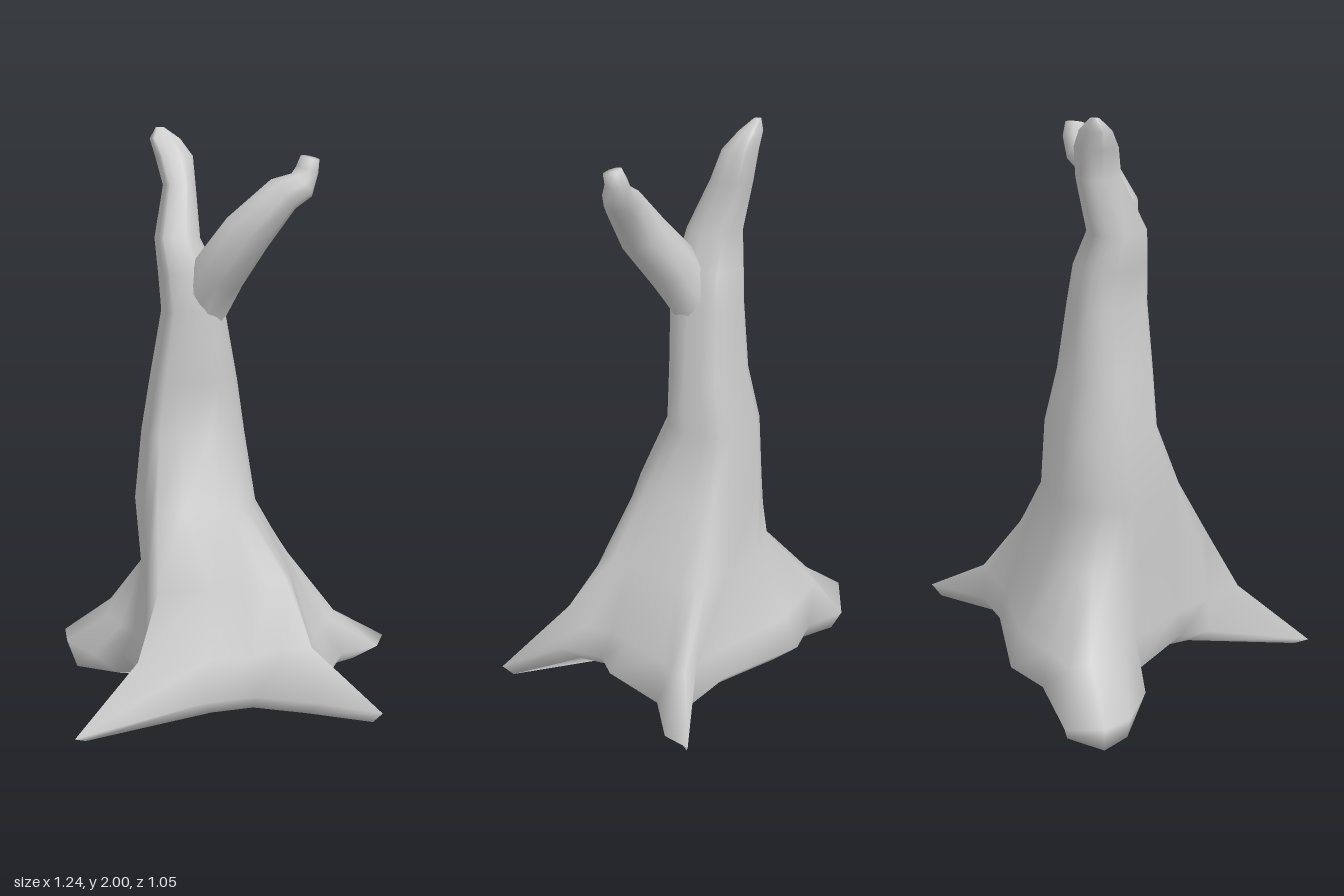
import * as THREE from 'three';

const material = new THREE.MeshStandardMaterial({ color: 0xcccccc, side: THREE.DoubleSide });

// Skins a stack of equal-length rings and closes both ends with fans
function loft(rings) {
  const n = rings[0].length, pos = rings.flat(2), index = [];
  const centre = (ring) => {
    for (let k = 0; k < 3; k++) pos.push(ring.reduce((s, p) => s + p[k], 0) / n);
    return pos.length / 3 - 1;
  };
  const bottom = centre(rings[0]), top = centre(rings.at(-1));
  const last = (rings.length - 1) * n;
  for (let c = 0; c < n; c++) {
    const d = (c + 1) % n;
    for (let r = 0; r < last; r += n) {
      index.push(r + c, r + d, r + n + d, r + c, r + n + d, r + n + c);
    }
    index.push(d, c, bottom, last + c, last + d, top);
  }
  const g = new THREE.BufferGeometry();
  g.setAttribute('position', new THREE.Float32BufferAttribute(pos, 3));
  g.setIndex(index);
  g.computeVertexNormals();
  return g;
}

// Widest outline of the four roots, starting at the front root on the -x side
const rim = [
  [-0.62, 0.06, 0.51], [-0.18, 0.1, 0.375], [0, 0.1, 0.35], [0.2, 0.1, 0.45],
  [0.39, 0.08, 0.52], [0.22, 0.09, 0.37], [0.225, 0.09, 0.2], [0.31, 0.09, 0.13],
  [0.41, 0.08, -0.09], [0.57, 0.07, -0.18], [0.62, 0.08, -0.28], [0.39, 0.09, -0.21],
  [0.21, 0.1, -0.27], [-0.08, 0.1, -0.455], [-0.25, 0.1, -0.455], [-0.45, 0.06, -0.53],
  [-0.59, 0.11, -0.48], [-0.59, 0.1, -0.37], [-0.5, 0.09, -0.21], [-0.4, 0.1, -0.18],
  [-0.33, 0.1, 0.14], [-0.37, 0.09, 0.25],
];
// Rounded underside, tucked in between the roots and dipping beneath the blunt rear root
const sole = rim.map(([x, , z]) => {
  const inset = Math.hypot(x, z) > 0.6 ? 0.94 : 0.82;
  return [x * inset, THREE.MathUtils.clamp(0.1 + 0.1 * (x + z), 0, 0.04), z * inset];
});
// Root ridges and the hollows between them
const skirt = [
  [-0.4, 0.25, 0.36], [-0.16, 0.22, 0.315], [0, 0.22, 0.305], [0.1, 0.25, 0.33],
  [0.19, 0.26, 0.34], [0.21, 0.2, 0.26], [0.215, 0.2, 0.16], [0.26, 0.2, 0.08],
  [0.32, 0.2, -0.06], [0.38, 0.2, -0.13], [0.4, 0.22, -0.19], [0.34, 0.22, -0.21],
  [0.19, 0.2, -0.25], [-0.08, 0.22, -0.41], [-0.25, 0.23, -0.43], [-0.37, 0.22, -0.44],
  [-0.42, 0.25, -0.39], [-0.44, 0.21, -0.31], [-0.4, 0.2, -0.21], [-0.36, 0.2, -0.12],
  [-0.33, 0.2, 0.12], [-0.36, 0.22, 0.24],
];
// Foot of the trunk where the ridges fade, as x, z at one height
const foot = [
  [-0.32, 0.275], [-0.14, 0.245], [-0.02, 0.235], [0.06, 0.24], [0.13, 0.22], [0.15, 0.18],
  [0.165, 0.12], [0.18, 0.06], [0.2, -0.03], [0.21, -0.1], [0.215, -0.16], [0.19, -0.19],
  [0.1, -0.24], [-0.08, -0.29], [-0.18, -0.29], [-0.24, -0.28], [-0.28, -0.255],
  [-0.31, -0.21], [-0.33, -0.15], [-0.335, -0.09], [-0.34, 0.1], [-0.35, 0.2],
].map(([x, z]) => [x, 0.46, z]);
// Trunk sections running into the tall rear branch: y, x range, z range
const sections = [
  [0.7, -0.365, 0.07, -0.275, 0.175],
  [0.94, -0.335, 0.04, -0.26, 0.07], [1.13, -0.305, 0.01, -0.215, 0.065],
  [1.37, -0.26, -0.035, -0.2, 0.065], [1.5, -0.27, -0.06, -0.19, 0.05],
  [1.62, -0.28, -0.12, -0.175, 0.025], [1.8, -0.24, -0.125, -0.215, -0.065],
  [1.9, -0.265, -0.13, -0.225, -0.1], [1.96, -0.28, -0.17, -0.23, -0.15],
  [2, -0.255, -0.225, -0.22, -0.195],
];

function trunkGeometry() {
  const rings = sections.map(([y, x0, x1, z0, z1]) => skirt.map(([px, , pz]) => {
    const a = Math.atan2(pz + 0.02, px + 0.08), cos = Math.cos(a), sin = Math.sin(a);
    // ellipse, fuller along one diagonal than the other
    const power = cos * sin < 0 ? 0.75 : 1.05;
    const q = (v) => Math.sign(v) * Math.abs(v) ** power;
    return [
      (x0 + x1) / 2 + q(cos) * (x1 - x0) / 2, y,
      (z0 + z1) / 2 + q(sin) * (z1 - z0) / 2,
    ];
  }));
  return loft([sole, rim, skirt, foot, ...rings]);
}

// Tapering limb: each row is x, y, z, radius
function limbGeometry(path, sides) {
  const pts = path.map((p) => new THREE.Vector3(p[0], p[1], p[2]));
  const rings = pts.map((p, i) => {
    const t = pts[Math.min(i + 1, pts.length - 1)].clone().sub(pts[Math.max(i - 1, 0)]).normalize();
    const u = new THREE.Vector3(0, 0, 1).cross(t).normalize();
    const v = t.clone().cross(u);
    return Array.from({ length: sides }, (_, k) => {
      const a = k / sides * Math.PI * 2, r = path[i][3];
      return p.clone().addScaledVector(u, Math.cos(a) * r).addScaledVector(v, Math.sin(a) * r).toArray();
    });
  });
  return loft(rings);
}

export function createModel() {
  const group = new THREE.Group();
  group.name = 'deadTree';
  const add = (name, geometry) => {
    const mesh = new THREE.Mesh(geometry, material);
    mesh.name = name;
    group.add(mesh);
  };
  add('trunkWithRootsAndRearBranch', trunkGeometry());
  // Starts inside the trunk so the fork blends, and ends in an upturned knob
  add('frontBranch', limbGeometry([
    [-0.13, 1.15, -0.08, 0.07], [-0.12, 1.36, -0.04, 0.085], [-0.075, 1.5, 0.025, 0.095],
    [0.01, 1.64, 0.11, 0.085], [0.13, 1.77, 0.13, 0.064], [0.195, 1.8, 0.12, 0.052],
    [0.215, 1.85, 0.115, 0.04], [0.222, 1.89, 0.125, 0.033],
  ], 8));
  return group;
}
